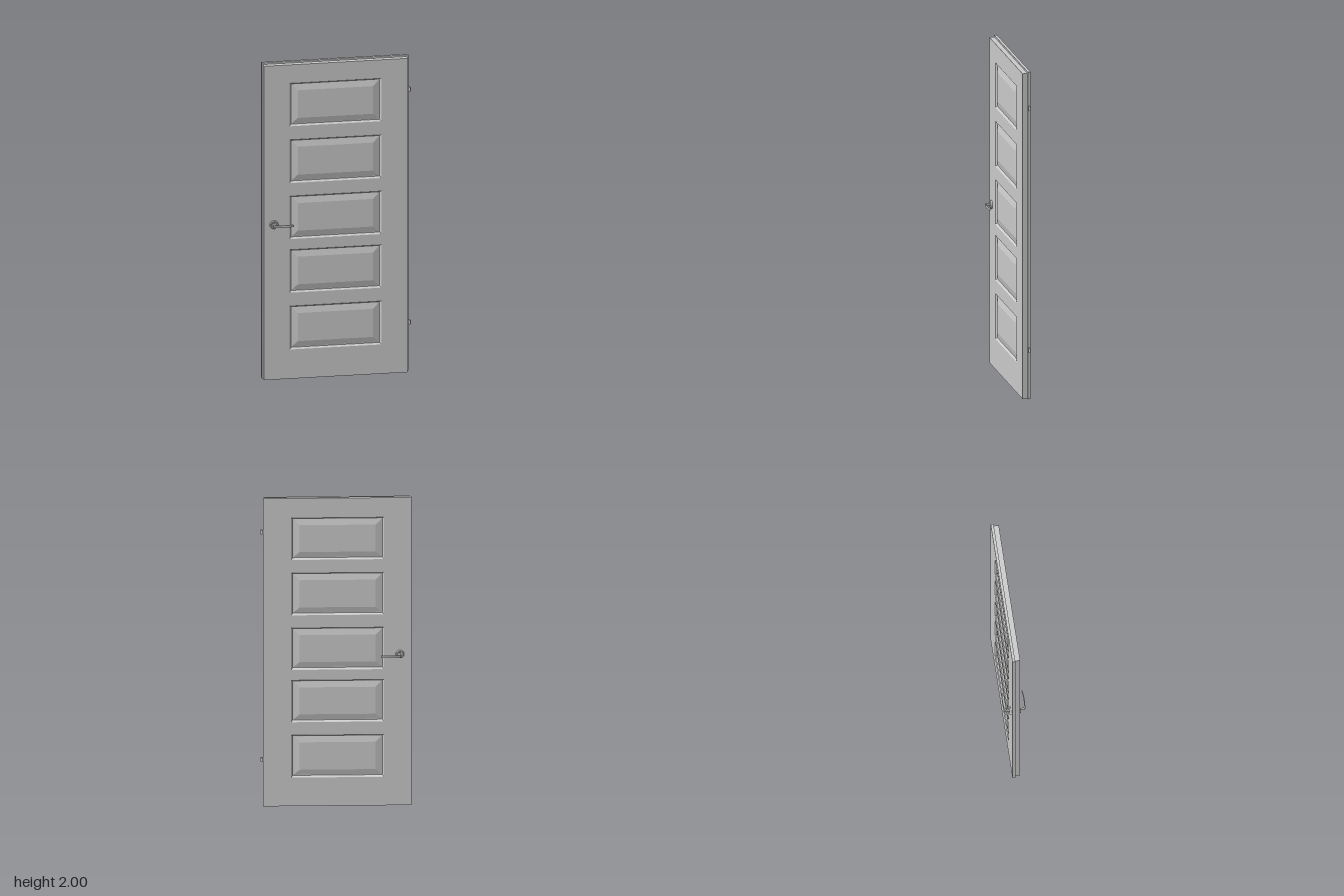
import * as THREE from 'three';

const material = new THREE.MeshStandardMaterial({ color: 0xcccccc });
const flatMaterial = new THREE.MeshStandardMaterial({ color: 0xcccccc, flatShading: true });

// Panel openings: shared x range, one [bottom, top] per panel
const X0 = -0.285, X1 = 0.265;
const PANELS = [[0.185, 0.463], [0.545, 0.82], [0.885, 1.16], [1.24, 1.517], [1.6, 1.875]];
const FRONT = 0.022, BACK = -0.025, STEP = -0.008, MID = (FRONT + BACK) / 2;

function add(parent, name, geometry, mat = material) {
  const mesh = new THREE.Mesh(geometry, mat);
  mesh.name = name;
  parent.add(mesh);
  return mesh;
}

function rect(Path, x0, y0, x1, y1) {
  return new Path().moveTo(x0, y0).lineTo(x1, y0).lineTo(x1, y1).lineTo(x0, y1).closePath();
}

// Slab with the panel openings cut out
function slab(x0, x1, height, z0, z1) {
  const shape = rect(THREE.Shape, x0, 0, x1, height);
  for (const [a, b] of PANELS) shape.holes.push(rect(THREE.Path, X0, a, X1, b));
  return new THREE.ExtrudeGeometry(shape, { depth: z1 - z0, bevelEnabled: false }).translate(0, 0, z0);
}

// Raised panel: nested rectangles stepping down the moulding and up the bevel
function panelGeometry(w, h) {
  const steps = [[0, 0], [0.003, -0.002], [0.01, -0.01], [0.014, -0.01], [0.05, -0.002]];
  const rings = steps.map(([inset, z]) => {
    const x = w / 2 - inset, y = h / 2 - inset;
    return [[-x, -y, z], [x, -y, z], [x, y, z], [-x, y, z]];
  });
  const pos = [];
  const quad = (a, b, c, d) => pos.push(...a, ...b, ...c, ...a, ...c, ...d);
  for (let r = 0; r < rings.length - 1; r++) {
    for (let i = 0; i < 4; i++) {
      const j = (i + 1) % 4;
      quad(rings[r][i], rings[r][j], rings[r + 1][j], rings[r + 1][i]);
    }
  }
  quad(...rings[rings.length - 1]);
  const geometry = new THREE.BufferGeometry();
  geometry.setAttribute('position', new THREE.Float32BufferAttribute(pos, 3));
  geometry.computeVertexNormals();
  return geometry;
}

// Rosette, neck and bowed lever, pointing out along +z from the door face
function handle() {
  const group = new THREE.Group();
  const profile = [[0, 0], [0.0255, 0], [0.0255, 0.005], [0.0225, 0.0095], [0.016, 0.0095], [0.014, 0.008], [0, 0.008]];
  const rosette = new THREE.LatheGeometry(profile.map(([x, y]) => new THREE.Vector2(x, y)), 32);
  add(group, 'rosette', rosette.toNonIndexed().rotateX(Math.PI / 2), flatMaterial);
  add(group, 'neck', new THREE.CylinderGeometry(0.006, 0.006, 0.036, 20).rotateX(Math.PI / 2).translate(0, 0, 0.019));

  // Lever outline in plan (x, z), extruded to its height
  const s = new THREE.Shape();
  s.moveTo(-0.006, 0.033);
  s.lineTo(0.006, 0.0335);
  s.quadraticCurveTo(0.06, 0.0425, 0.112, 0.0335);
  s.lineTo(0.113, 0.0375);
  s.quadraticCurveTo(0.06, 0.0475, 0.004, 0.0405);
  s.quadraticCurveTo(-0.006, 0.04, -0.006, 0.033);
  const lever = new THREE.ExtrudeGeometry(s, {
    depth: 0.011, bevelThickness: 0.0015, bevelSize: 0.001, bevelOffset: -0.001, bevelSegments: 2, curveSegments: 14,
  });
  add(group, 'lever', lever.translate(0, 0, -0.0055).rotateX(Math.PI / 2));
  return group;
}

export function createModel() {
  const door = new THREE.Group();
  door.name = 'door';
  add(door, 'frontLeaf', slab(-0.438, 0.421, 1.99, STEP, FRONT));
  add(door, 'rebatedBackLeaf', slab(-0.447, 0.43, 2, BACK, STEP));

  // Panels and handles on both faces; the back ones are turned about x
  for (const [side, z, turn] of [['front', FRONT, 0], ['back', BACK, Math.PI]]) {
    PANELS.forEach(([a, b], i) => {
      const panel = add(door, `${side}Panel${i + 1}`, panelGeometry(X1 - X0, b - a), flatMaterial);
      panel.position.set((X0 + X1) / 2, (a + b) / 2, z);
      panel.rotation.x = turn;
    });
    const lever = handle();
    lever.name = `${side}Handle`;
    lever.position.set(-0.378, 0.983, z);
    lever.rotation.x = turn;
    door.add(lever);
  }

  // Hinge knuckles on the edge of the rebate
  for (const [name, y] of [['lowerHinge', 0.303], ['upperHinge', 1.78]]) {
    add(door, name, new THREE.CylinderGeometry(0.0075, 0.0075, 0.025, 20)).position.set(0.4385, y, -0.0165);
  }
  return door;
}
